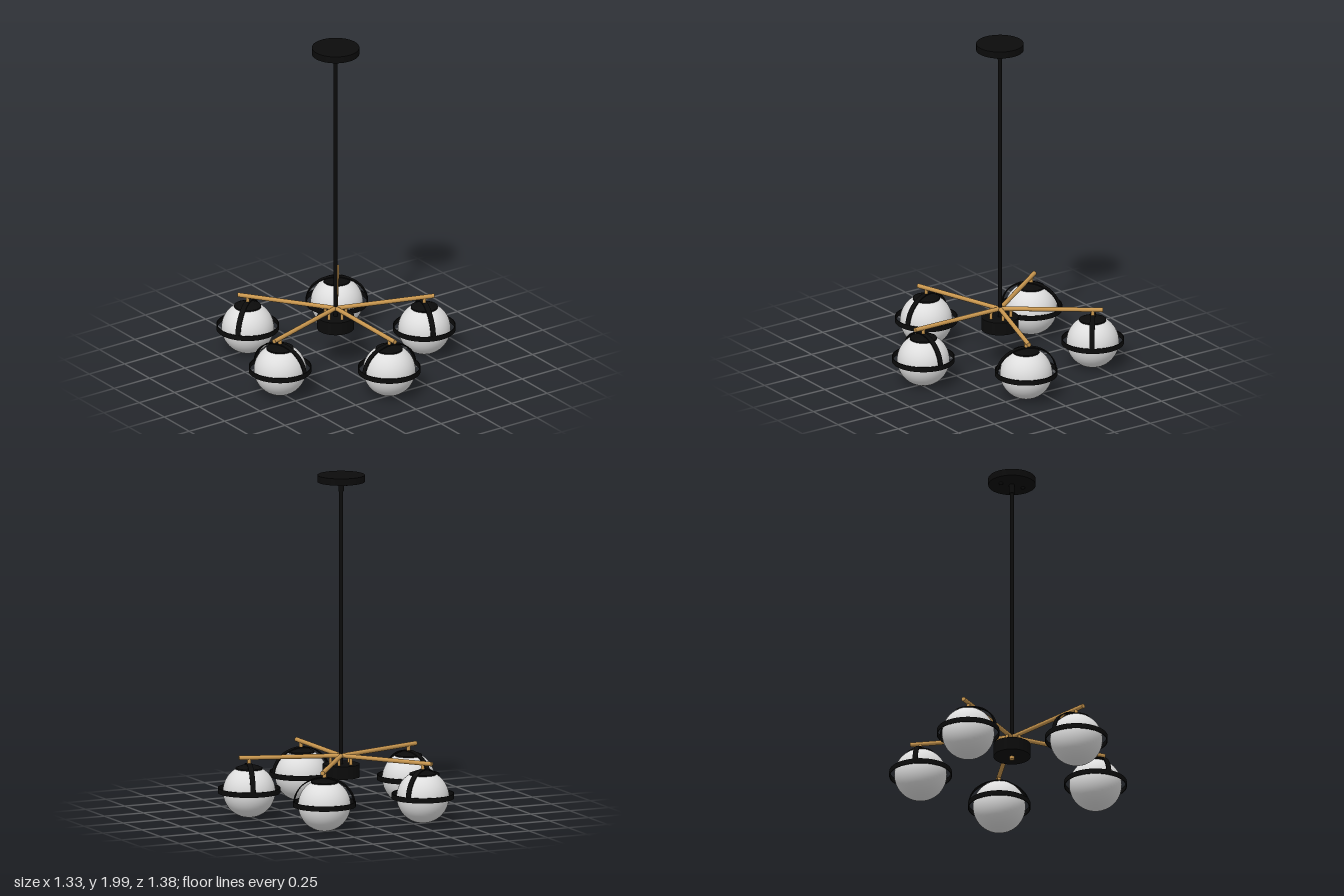
import * as THREE from 'three';

const mat = (name, color) => {
  const m = new THREE.MeshStandardMaterial({ color });
  m.name = name;
  return m;
};

export function createModel() {
  const black = mat('matte black', 0x0b0b0b);
  const brass = mat('brushed brass', 0xc8964e);
  const glass = mat('opal glass', 0xdedede);

  const add = (parent, name, geometry, material, x = 0, y = 0, z = 0) => {
    const mesh = new THREE.Mesh(geometry, material);
    mesh.name = name;
    mesh.position.set(x, y, z);
    parent.add(mesh);
    return mesh;
  };
  // upright cylinder between two heights
  const post = (parent, name, r, y0, y1, material, x = 0, z = 0, seg = 20) =>
    add(parent, name, new THREE.CylinderGeometry(r, r, y1 - y0, seg), material, x, (y0 + y1) / 2, z);

  const model = new THREE.Group();
  model.name = 'chandelier';
  const lamp = new THREE.Group();
  lamp.name = 'lamp';
  lamp.position.x = -0.054;
  model.add(lamp);

  // Ceiling canopy, its screws, and the hanging rod
  post(lamp, 'canopy', 0.137, 1.96, 2, black, 0, 0, 64);
  for (const s of [-1, 1]) {
    const screw = add(lamp, 'canopyScrew', new THREE.SphereGeometry(0.012, 16, 10), black, s * 0.07, 1.957, 0);
    screw.scale.y = 0.9;
  }
  post(lamp, 'rodCollar', 0.016, 1.905, 1.96, black);
  post(lamp, 'rod', 0.012, 0.3, 1.91, black);

  // Central hub with finial
  post(lamp, 'hub', 0.107, 0.23, 0.306, black, 0, 0, 64);
  post(lamp, 'finial', 0.014, 0.212, 0.232, brass);

  // Shared geometry for the five lights
  const globeY = 0.158, ringY = 0.165, reach = 0.536;
  const globe = new THREE.SphereGeometry(0.152, 48, 32);
  const cap = new THREE.SphereGeometry(0.157, 40, 8, 0, Math.PI * 2, 0, 0.52);
  const v = (x, y) => new THREE.Vector2(x, y);
  const ring = new THREE.LatheGeometry(
    [v(0.176, -0.015), v(0.181, -0.015), v(0.181, -0.015), v(0.181, 0.015), v(0.181, 0.015),
      v(0.176, 0.015), v(0.176, 0.015), v(0.176, -0.015)], 64);

  // Half-elliptical band that bridges the ring over the globe
  const band = new THREE.Shape();
  band.absellipse(0, 0, 0.18, 0.156, 0, Math.PI, false, 0);
  band.lineTo(-0.174, 0);
  band.absellipse(0, 0, 0.174, 0.15, Math.PI, 0, true, 0);
  const strap = new THREE.ExtrudeGeometry(band, { depth: 0.03, bevelEnabled: false, curveSegments: 28 });
  strap.translate(0, 0, -0.015).rotateY(Math.PI / 2);

  // Five arms around the rod, each carrying a globe
  for (let i = 0; i < 5; i++) {
    const arm = new THREE.Group();
    arm.name = 'armAssembly' + (i + 1);
    arm.rotation.y = (i * Math.PI * 2) / 5;
    lamp.add(arm);

    const bar = add(arm, 'arm', new THREE.CylinderGeometry(0.013, 0.013, 0.595, 20), brass, 0.2975, 0.354, 0);
    bar.rotation.z = Math.PI / 2;
    post(arm, 'hubPin', 0.009, 0.3, 0.35, brass, 0.063);
    post(arm, 'globePin', 0.011, 0.31, 0.35, brass, reach);

    add(arm, 'globe', globe, glass, reach, globeY, 0);
    const shell = add(arm, 'globeCap', cap, black, reach, globeY, 0);
    shell.material = black;
    // rim closing the cap's lower edge
    post(arm, 'capRim', 0.078, 0.284, 0.296, black, reach, 0, 40);
    add(arm, 'ring', ring, black, reach, ringY, 0);
    add(arm, 'strap', strap, black, reach, ringY, 0);
  }
  return model;
}
